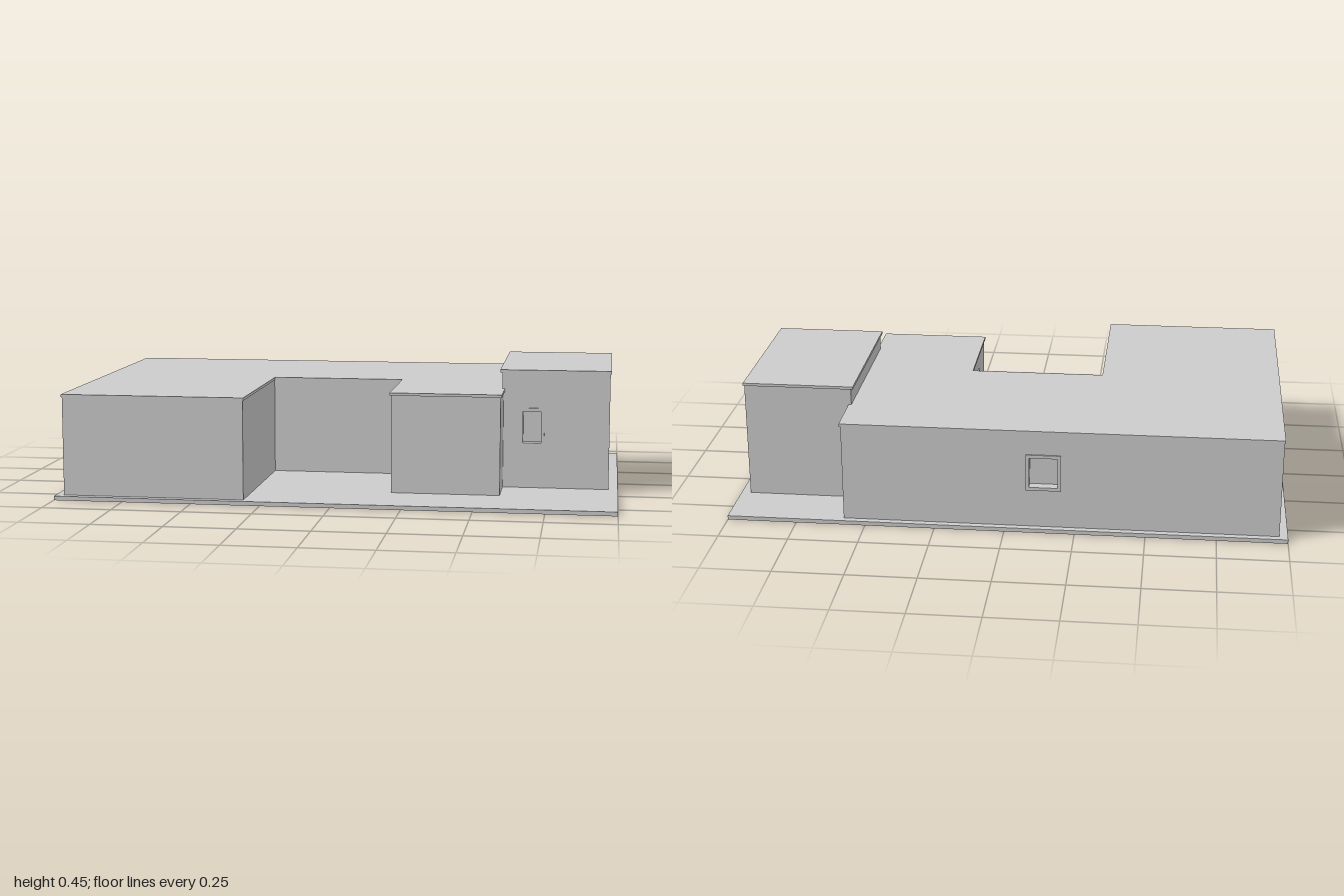
import * as THREE from 'three';

const material = new THREE.MeshStandardMaterial({ color: 0xcccccc });
material.name = 'plain grey';

const FLOOR = 0.015; // top of the base slab
const RECESS = 0.03; // wall thickness around a window
const PROUD = 0.005; // how far window frames stand out

function add(parent, name, geometry) {
  const mesh = new THREE.Mesh(geometry, material);
  mesh.name = name;
  parent.add(mesh);
  return mesh;
}

// Box given by its limits on each axis
function block(parent, name, [x0, x1], [y0, y1], [z0, z1]) {
  const mesh = add(parent, name, new THREE.BoxGeometry(x1 - x0, y1 - y0, z1 - z0));
  mesh.position.set((x0 + x1) / 2, (y0 + y1) / 2, (z0 + z1) / 2);
  return mesh;
}

// Upright prism over a floor plan of [x, z] corners
function prism(parent, name, plan, y0, y1) {
  const shape = new THREE.Shape(plan.map(([x, z]) => new THREE.Vector2(x, -z)));
  const geometry = new THREE.ExtrudeGeometry(shape, { depth: y1 - y0, bevelEnabled: false });
  geometry.rotateX(-Math.PI / 2).translate(0, y0, 0);
  return add(parent, name, geometry);
}

// Upright plate with a rectangular hole; limits are [left, right, bottom, top]
function holedPlate(outer, inner, depth) {
  const corners = ([l, r, b, t]) =>
    [[l, b], [r, b], [r, t], [l, t]].map(([x, y]) => new THREE.Vector2(x, y));
  const shape = new THREE.Shape(corners(outer));
  shape.holes.push(new THREE.Path(corners(inner).reverse()));
  return new THREE.ExtrudeGeometry(shape, { depth, bevelEnabled: false });
}

// Wall facing local +z with its outer face at z = 0, a recessed window and a thin frame
function windowWall(parent, name, wall, win) {
  const group = new THREE.Group();
  group.name = name;
  parent.add(group);
  const rim = 0.012;
  const opening = [win[0] + rim, win[1] - rim, win[2] + rim, win[3] - rim];
  add(group, 'wallPanel', holedPlate(wall, opening, RECESS)).position.z = -RECESS;
  add(group, 'windowFrame', holedPlate(win, opening, PROUD));
  return group;
}

export function createModel() {
  const model = new THREE.Group();
  model.name = 'building';

  block(model, 'baseSlab', [-1, 1], [0, FLOOR], [-0.612, 0.612]);

  // U-shaped main house: long left wing, shorter right wing
  const house = new THREE.Group();
  house.name = 'mainHouse';
  model.add(house);
  const uPlan = (left, right, back, courtLeft, courtRight, courtBack, frontLeft, frontRight) => [
    [left, back], [right, back], [right, frontRight], [courtRight, frontRight],
    [courtRight, courtBack], [courtLeft, courtBack], [courtLeft, frontLeft], [left, frontLeft],
  ];
  const wallTop = 0.37;
  prism(house, 'houseBody',
    uPlan(-0.97, 0.58, -0.588 + RECESS, -0.313, 0.187 + RECESS, -0.015, 0.585, 0.373), FLOOR, wallTop);
  prism(house, 'houseRoof',
    uPlan(-0.973, 0.585, -0.592, -0.31, 0.182, -0.01, 0.588, 0.38), wallTop, 0.38);

  // Back wall: local x runs towards -x
  const backWall = windowWall(house, 'backWall',
    [-0.58, 0.97, FLOOR, wallTop], [0.075, 0.2, 0.155, 0.29]);
  backWall.position.z = -0.588;
  backWall.rotation.y = Math.PI;

  // Courtyard wall of the right wing: local x runs towards +z
  const courtWall = windowWall(house, 'courtyardWall',
    [-0.015, 0.373, FLOOR, wallTop], [0.075, 0.2, 0.14, 0.31]);
  courtWall.position.x = 0.187;
  courtWall.rotation.y = -Math.PI / 2;

  // Taller block beside the right wing
  const tower = new THREE.Group();
  tower.name = 'tallBlock';
  model.add(tower);
  block(tower, 'tallBody', [0.575, 0.966], [FLOOR, 0.44], [-0.405, 0.201 - RECESS]);
  block(tower, 'tallRoof', [0.567, 0.97], [0.44, 0.45], [-0.41, 0.205]);
  windowWall(tower, 'tallFrontWall',
    [0.575, 0.966, FLOOR, 0.44], [0.64, 0.73, 0.17, 0.31]).position.z = 0.201;

  return model;
}
